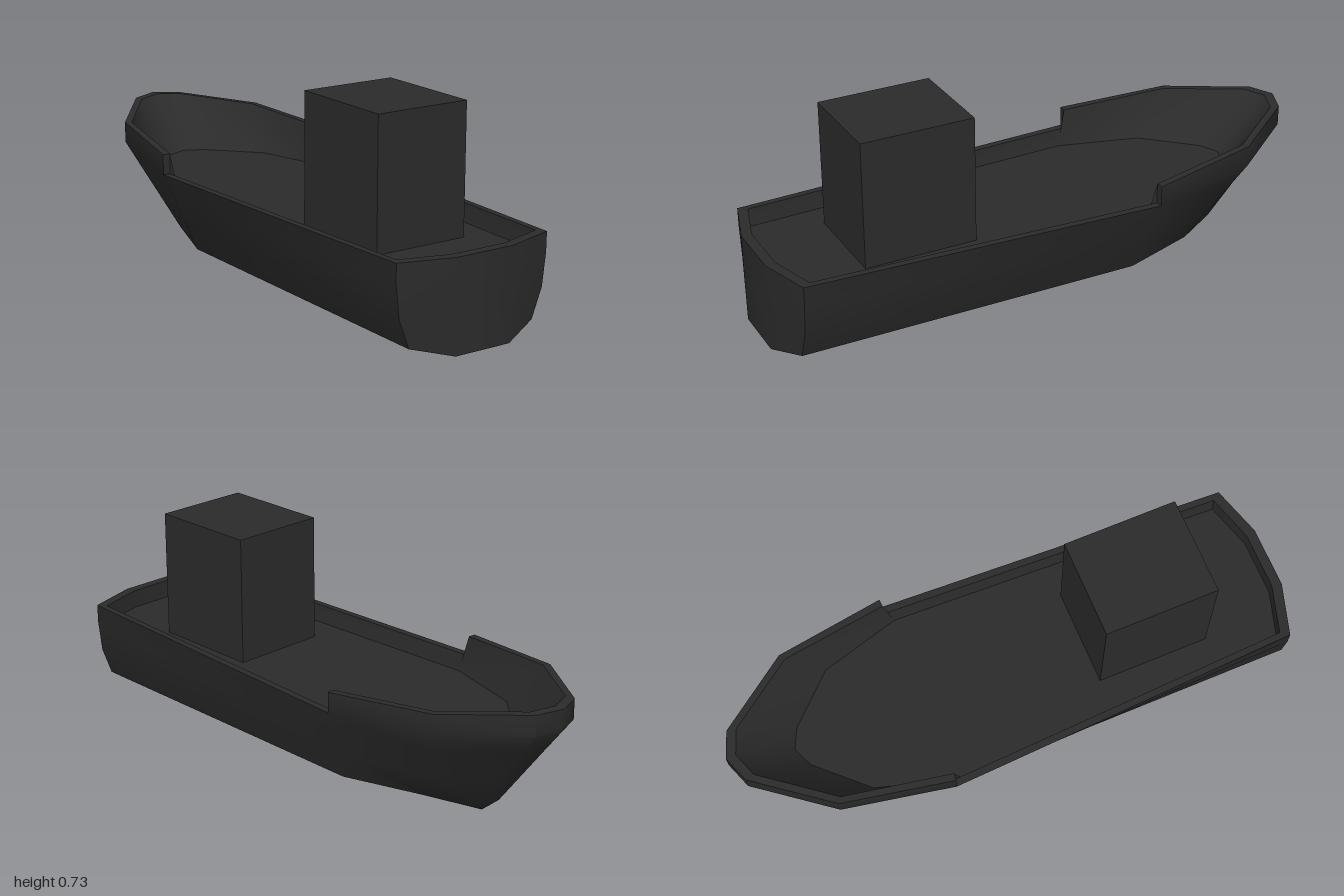
import * as THREE from 'three';
import { toCreasedNormals } from 'three/addons/utils/BufferGeometryUtils.js';

const DECK_Y = 0.28, TOP_Y = 0.73, KEEL_FRONT = -0.68;
const { lerp } = THREE.MathUtils;

// One column of half-hull points: deck centre, deck edge, inner rim, outer rim,
// then down the flared and raked side to the bilge and the keel.
function station({ x, z, rim, sheer = rim, bilge, narrow, rake = 0 }) {
  const innerZ = z - 0.035 * z ** 3;
  const deckZ = innerZ + 0.76 * rake;
  const keelZ = Math.max(z + rake, KEEL_FRONT);
  const fullness = rake > 0 ? 1 : 3; // stern sections stay full lower down
  const sidePoints = [0, 0.24, 0.64, 1].map((u) => [
    x * (1 - (1 - narrow) * u ** fullness), lerp(sheer, bilge, u), z + rake * u,
  ]);
  return [
    [0, DECK_Y, deckZ],
    [x * (0.91 - 0.6 * rake), DECK_Y, deckZ],
    [x * 0.925, rim, innerZ],
    [x, rim, z],
    ...sidePoints,
    [0, 0.018 * (keelZ - KEEL_FRONT), keelZ],
  ].map((p) => new THREE.Vector3(...p));
}

// Stations from the stern to the stem
const midship = { x: 0.35, z: -0.32, sheer: 0.34, bilge: 0.062, narrow: 0.69, rake: 0.04 };
const stations = [
  { x: 0, z: 1, rim: 0.345, bilge: 0.03, narrow: 1 },
  { x: 0.11, z: 1, rim: 0.345, bilge: 0.03, narrow: 0.95 },
  { x: 0.293, z: 0.945, rim: 0.345, bilge: 0.065, narrow: 0.825 },
  { ...midship, rim: 0.34 }, // the rim steps up here to the bow bulwark
  { ...midship, rim: 0.412 },
  { x: 0.282, z: -0.71, rim: 0.44, sheer: 0.367, bilge: 0.06, narrow: 0.53, rake: 0.16 },
  { x: 0.092, z: -0.965, rim: 0.458, sheer: 0.386, bilge: 0.058, narrow: 0.5, rake: 0.25 },
  { x: 0, z: -1, rim: 0.462, sheer: 0.392, bilge: 0.06, narrow: 1, rake: 0.25 },
].map(station);

// Skin a band of levels on both sides, leaving out collapsed triangles
function skin(from, to, crease) {
  const out = [];
  const tri = (a, b, c) => {
    const area = b.clone().sub(a).cross(c.clone().sub(a)).length();
    if (area < 1e-7) return;
    for (const p of [a, b, c]) out.push(p.x, p.y, p.z);
    for (const p of [a, c, b]) out.push(-p.x, p.y, p.z);
  };
  for (let i = 0; i < stations.length - 1; i++) {
    const a = stations[i], b = stations[i + 1];
    for (let j = from; j < to; j++) {
      tri(a[j], a[j + 1], b[j + 1]);
      tri(a[j], b[j + 1], b[j]);
    }
  }
  const geometry = new THREE.BufferGeometry();
  geometry.setAttribute('position', new THREE.Float32BufferAttribute(out, 3));
  return toCreasedNormals(geometry, crease);
}

export function createModel() {
  const group = new THREE.Group();
  const material = new THREE.MeshStandardMaterial({ color: 0x2b2b2b });
  const add = (name, geometry) => {
    const mesh = new THREE.Mesh(geometry, material);
    mesh.name = name;
    group.add(mesh);
    return mesh;
  };

  add('deck', skin(0, 1, 0.5));
  add('bulwarkInside', skin(1, 2, 0.9));
  add('rim', skin(2, 3, 0.5));
  add('hull', skin(3, 8, 0.75));

  // plain block wheelhouse on the aft deck
  add('wheelhouse', new THREE.BoxGeometry(0.345, TOP_Y - DECK_Y, 0.4))
    .position.set(0, (TOP_Y + DECK_Y) / 2, 0.485);

  return group;
}
